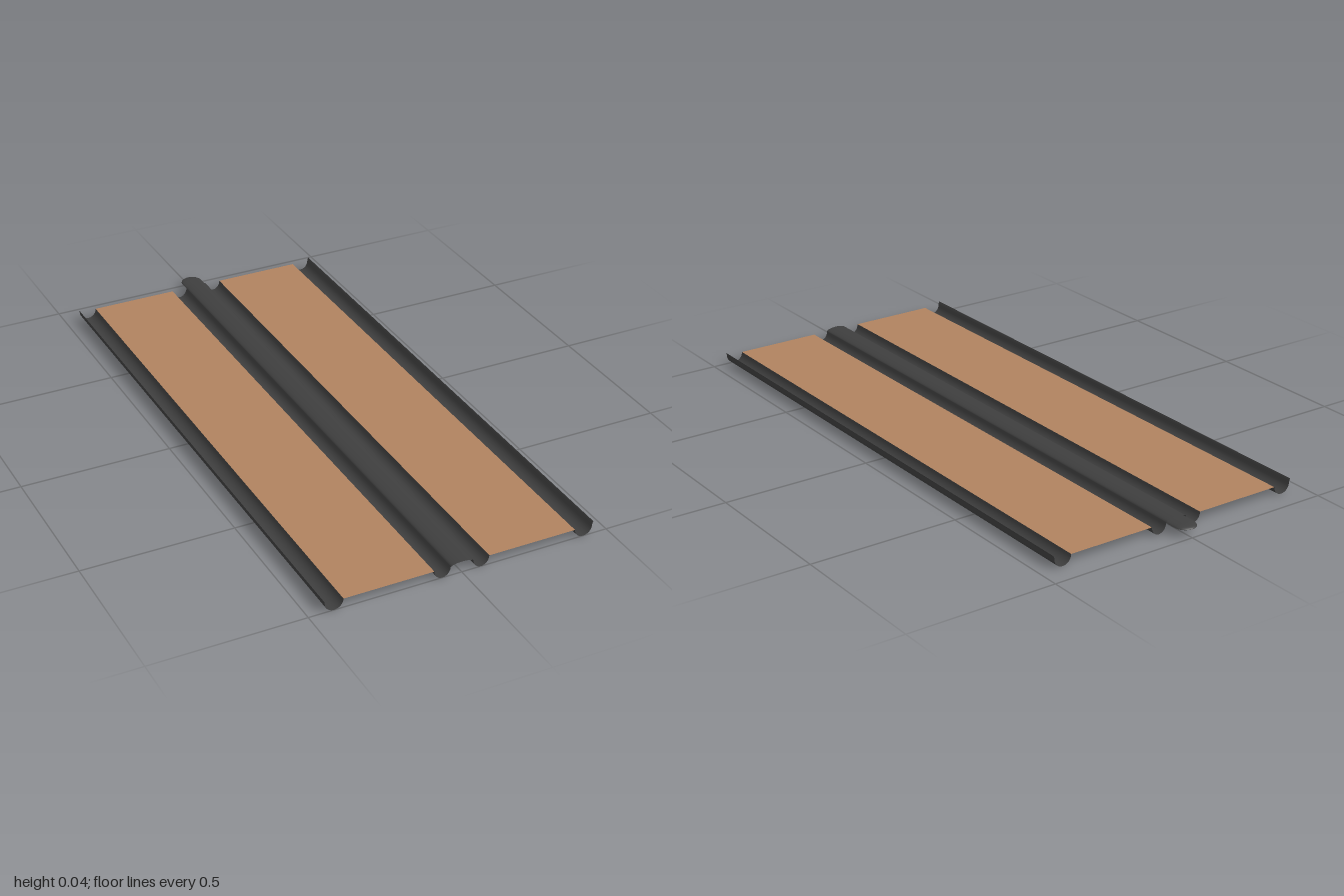
import * as THREE from 'three';

const FRONT = 1, BACK = -0.925, PANEL_Y = 0.03;

// Loft a cross-section (points from -x to +x) through stations [z, scale], shrinking towards y = base
function loft(points, stations, base = 0) {
  const pos = [], index = [], n = points.length;
  for (const [z, s] of stations)
    for (const p of points) pos.push(p.x * s, base + (p.y - base) * s, z);
  for (let j = 0; j < stations.length - 1; j++)
    for (let i = 0; i < n - 1; i++) {
      const a = j * n + i, b = a + n;
      index.push(a, b, b + 1, a, b + 1, a + 1);
    }
  const g = new THREE.BufferGeometry();
  g.setAttribute('position', new THREE.Float32BufferAttribute(pos, 3));
  g.setIndex(index);
  g.computeVertexNormals();
  return g;
}

const vec = (x, y) => new THREE.Vector2(x, y);
const mirrored = pts => pts.map(p => vec(-p.x, p.y)).reverse();

// Half-round channel hanging below panel level
function channel(cx, halfWidth, steps = 12) {
  const pts = [];
  for (let i = 0; i <= steps; i++) {
    const a = Math.PI * i / steps;
    pts.push(vec(cx - Math.cos(a) * halfWidth, PANEL_Y * (1 - Math.sin(a))));
  }
  return pts;
}

// Low arch centred on x = 0
function arch(halfWidth, y0, y1, steps = 12) {
  const pts = [];
  for (let i = 0; i <= steps; i++) {
    const a = Math.PI * i / steps;
    pts.push(vec(-Math.cos(a) * halfWidth, y0 + (y1 - y0) * Math.sin(a)));
  }
  return pts;
}

export function createModel() {
  const model = new THREE.Group();
  model.name = 'channelledSheet';
  const tan = new THREE.MeshStandardMaterial({ color: 0xb0825f, side: THREE.DoubleSide });
  tan.name = 'tan panel';
  const dark = new THREE.MeshStandardMaterial({ color: 0x3e3e3e, side: THREE.DoubleSide });
  dark.name = 'dark grey';

  const add = (name, geometry, material) => {
    const mesh = new THREE.Mesh(geometry, material);
    mesh.name = name;
    model.add(mesh);
  };
  const run = [[BACK, 1], [FRONT, 1]];

  // Flat panels and outer gutters with a flared lip
  const panel = [vec(0.092, PANEL_Y), vec(0.388, PANEL_Y)];
  const gutter = [...channel(0.418, 0.03), vec(0.449, 0.037), vec(0.452, 0.042)];
  add('leftPanel', loft(panel, run), tan);
  add('rightPanel', loft(mirrored(panel), run), tan);
  add('leftGutter', loft(gutter, run), dark);
  add('rightGutter', loft(mirrored(gutter), run), dark);

  // Central ridge between two channels
  const side = channel(0.065, 0.027);
  const ridge = [
    ...mirrored(side),
    ...arch(0.038, PANEL_Y, 0.041).slice(1, -1),
    ...side,
  ];
  add('centreRidge', loft(ridge, run), dark);

  // Arched tongue under the ridge, ending in a rounded dome at the back
  const r = 0.037, stations = [];
  for (let i = 0; i <= 8; i++) {
    const a = (Math.PI / 2) * i / 8;
    stations.push([-1 + r - r * Math.cos(a), Math.max(Math.sin(a), 0.001)]);
  }
  stations.push([FRONT, 1]);
  add('tongue', loft(arch(r, 0.028, 0.037), stations, 0.028), dark);

  return model;
}
